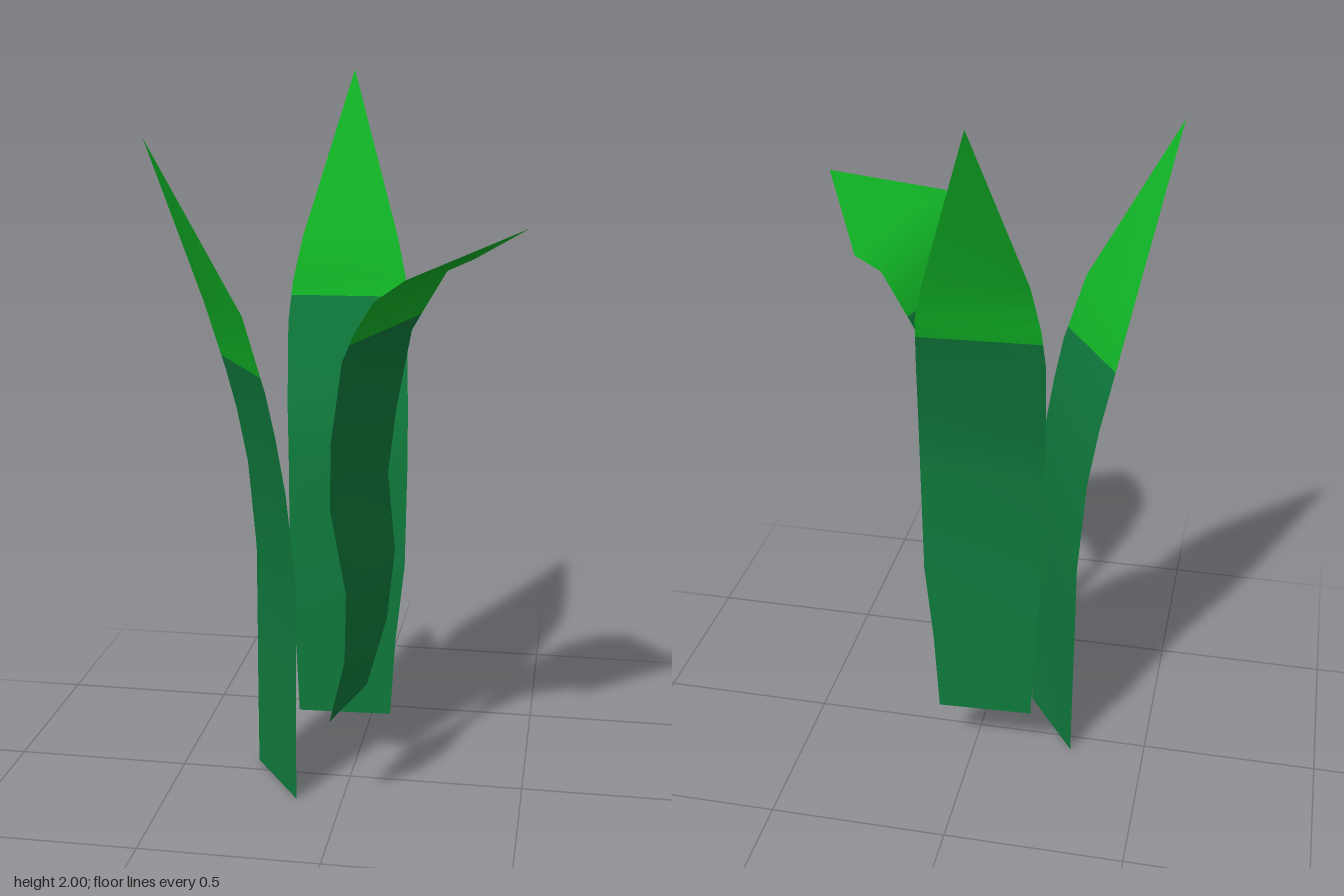
import * as THREE from 'three';

const lowerGreen = new THREE.MeshStandardMaterial({ color: 0x0f7a3c, side: THREE.DoubleSide });
lowerGreen.name = 'deep green';
const upperGreen = new THREE.MeshStandardMaterial({ color: 0x11b626, side: THREE.DoubleSide });
upperGreen.name = 'bright green';

// Cross-section rows: [x, y, z of one edge, x, y, z of the other edge]
const backRows = [
  [-0.17, 0.15, -0.107, 0.10, 0.15, -0.12],
  [-0.18, 0.39, -0.105, 0.115, 0.39, -0.12],
  [-0.195, 0.62, -0.107, 0.14, 0.62, -0.116],
  [-0.197, 0.93, -0.114, 0.145, 0.93, -0.118],
  [-0.203, 1.08, -0.135, 0.142, 1.08, -0.138],
  [-0.21, 1.31, -0.194, 0.13, 1.31, -0.2],
  [-0.2, 1.42, -0.217, 0.118, 1.44, -0.247],
  [-0.175, 1.545, -0.241, 0.093, 1.545, -0.27],
];
const sideRows = [
  [-0.285, 0, -0.06, -0.13, 0, 0.16],
  [-0.287, 0.25, -0.07, -0.127, 0.25, 0.168],
  [-0.292, 0.45, -0.098, -0.123, 0.45, 0.18],
  [-0.293, 0.66, -0.105, -0.12, 0.66, 0.19],
  [-0.31, 0.92, -0.086, -0.14, 0.92, 0.216],
  [-0.335, 1.08, -0.066, -0.163, 1.08, 0.232],
  [-0.36, 1.2, -0.045, -0.185, 1.2, 0.245],
  [-0.4, 1.4, 0.025, -0.245, 1.4, 0.238],
];
const bentRows = [
  [0.05, 0.3, 0.012, -0.015, 0.295, 0.266],
  [0.105, 0.5, 0.005, 0.033, 0.49, 0.305],
  [0.125, 0.7, -0.01, 0.04, 0.69, 0.325],
  [0.1, 0.92, -0.04, 0, 0.92, 0.334],
  [0.12, 1.1, -0.053, 0.006, 1.1, 0.355],
  [0.16, 1.32, -0.064, 0.04, 1.32, 0.385],
  [0.205, 1.4, -0.064, 0.075, 1.4, 0.403],
  [0.255, 1.485, -0.06, 0.125, 1.48, 0.428],
  [0.328, 1.52, -0.05, 0.205, 1.54, 0.46],
];

// Adds a row where each edge crosses the height at which the colour changes
function splitAt(rows, height) {
  const i = rows.findIndex(r => r[1] > height);
  const a = rows[i - 1], b = rows[i];
  const cut = [0, 3].flatMap(o => {
    const t = (height - a[o + 1]) / (b[o + 1] - a[o + 1]);
    return [0, 1, 2].map(k => THREE.MathUtils.lerp(a[o + k], b[o + k], t));
  });
  return { rows: [...rows.slice(0, i), cut, ...rows.slice(i)], cutIndex: i };
}

// One leaf: a strip of quads closing in a pointed tip
function makeLeaf(name, source, tip, height) {
  const { rows, cutIndex } = splitAt(source, height);
  const index = [];
  for (let i = 0; i < rows.length - 1; i++) {
    const a = i * 2;
    index.push(a, a + 1, a + 3, a, a + 3, a + 2);
  }
  const last = rows.length * 2 - 2;
  index.push(last, last + 1, last + 2);

  const geometry = new THREE.BufferGeometry();
  geometry.setAttribute('position', new THREE.Float32BufferAttribute([...rows.flat(), ...tip], 3));
  geometry.setIndex(index);
  geometry.computeVertexNormals();
  geometry.addGroup(0, cutIndex * 6, 0);
  geometry.addGroup(cutIndex * 6, index.length - cutIndex * 6, 1);
  const leaf = new THREE.Mesh(geometry, [lowerGreen, upperGreen]);
  leaf.name = name;
  return leaf;
}

export function createModel() {
  const plant = new THREE.Group();
  plant.name = 'leaves';
  plant.add(
    makeLeaf('backLeaf', backRows, [-0.06, 2, -0.46], 1.383),
    makeLeaf('rightLeaf', sideRows, [-0.49, 1.85, 0.247], 1.24),
    makeLeaf('leftBentLeaf', bentRows, [0.485, 1.643, 0.262], 1.365),
  );
  return plant;
}
